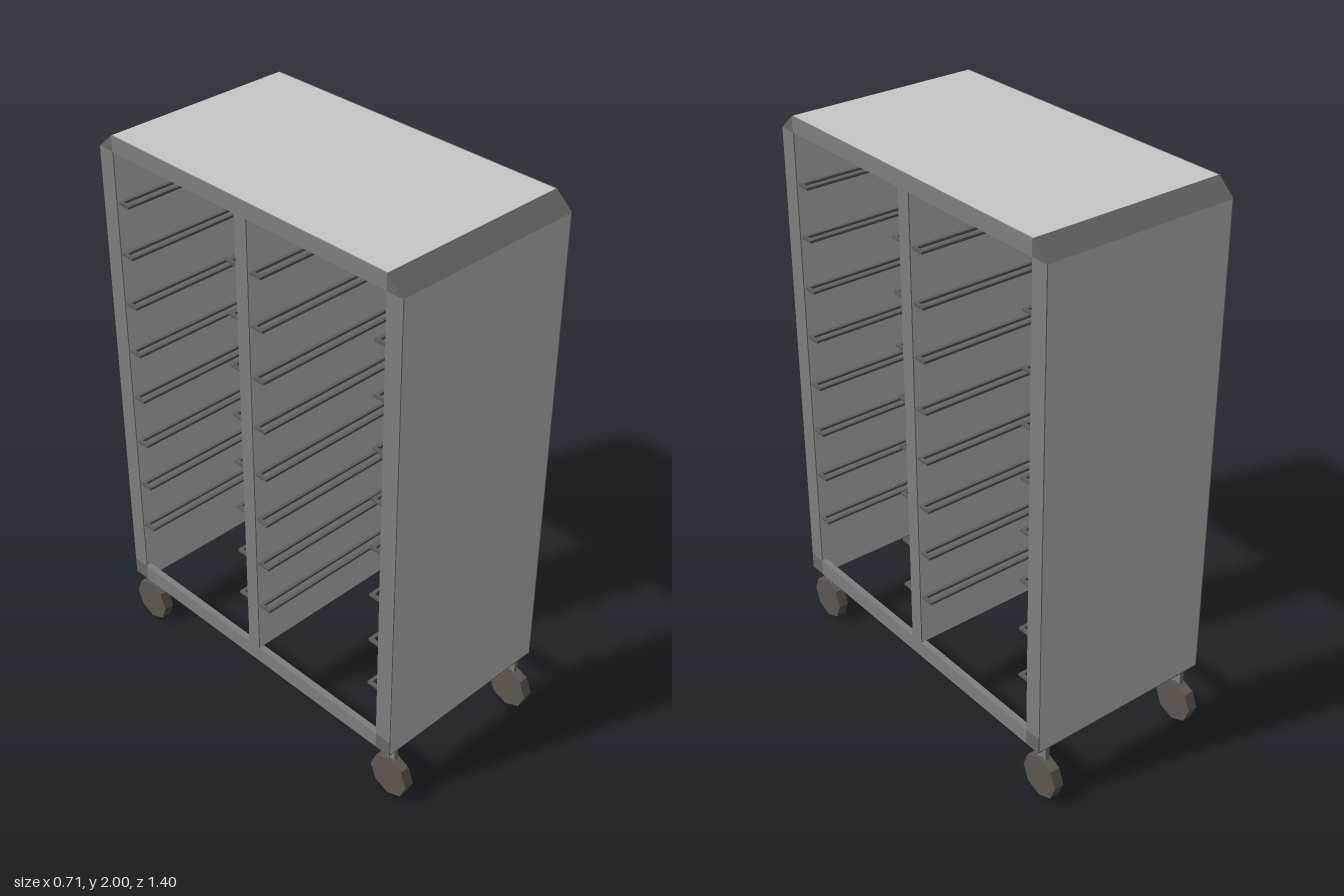
import * as THREE from 'three';

const mat = (name, color) => {
  const m = new THREE.MeshStandardMaterial({ color });
  m.name = name;
  return m;
};

export function createModel() {
  const root = new THREE.Group();
  root.name = 'trayTrolley';
  const panel = mat('lightGreyPanel', 0xc8c8c8);
  const frame = mat('midGreyFrame', 0x808080);
  const corner = mat('darkGreyCorner', 0x6c6868);
  const runnerMat = mat('darkRunner', 0x625c5c);
  const rubber = mat('wheelRubber', 0x5e5852);

  const W = 0.353, D = 0.652, T = 0.062, BOT = 0.22, RAIL = 0.28, SHOULDER = 1.945, TOP = 2;
  const CAP = 0.004, IN = D - T, MID = 0.025;

  const add = (name, geo, material, x = 0, y = 0, z = 0) => {
    const mesh = new THREE.Mesh(geo, material);
    mesh.name = name;
    mesh.position.set(x, y, z);
    root.add(mesh);
    return mesh;
  };
  // Box given by its limits on each axis
  const box = (name, material, x0, x1, y0, y1, z0, z1) =>
    add(name, new THREE.BoxGeometry(x1 - x0, y1 - y0, z1 - z0), material,
      (x0 + x1) / 2, (y0 + y1) / 2, (z0 + z1) / 2);

  // Light panels: two ends, divider and roof, leaving room for edge trim
  const w = W - CAP;
  box('frontPanel', panel, -w, w, BOT + CAP, SHOULDER, IN, D);
  box('backPanel', panel, -w, w, BOT + CAP, SHOULDER, -D, -IN);
  box('divider', panel, -w, w, RAIL, SHOULDER, -MID, MID);
  box('roof', panel, -w, w, SHOULDER, TOP, -IN, IN);

  // Trim on both open sides
  for (const s of [-1, 1]) {
    const a = s > 0 ? w : -W, b = a + CAP;
    box('roofTrim', frame, a, b, SHOULDER, TOP, -IN, IN);
    box('dividerTrim', frame, a, b, RAIL, SHOULDER, -MID, MID);
    const r = s > 0 ? W - 0.022 : -W;
    box('bottomRail', frame, r, r + 0.022, BOT, RAIL, -IN, IN);
    for (const e of [-1, 1]) {
      const z0 = e > 0 ? IN : -D, z1 = z0 + T;
      box('postTrim', frame, a, b, RAIL, SHOULDER, z0, z1);
      box('bottomCorner', corner, a, b, BOT, RAIL, z0, z1);
    }
  }

  // Chamfered bars along the top corners and strips under the end panels
  for (const e of [-1, 1]) {
    const tri = new THREE.Shape([
      new THREE.Vector2(-e * IN, SHOULDER),
      new THREE.Vector2(-e * D, SHOULDER),
      new THREE.Vector2(-e * IN, TOP),
    ]);
    const bar = new THREE.ExtrudeGeometry(tri, { depth: 2 * W, bevelEnabled: false });
    bar.translate(0, 0, -W).rotateY(Math.PI / 2);
    add('topCornerBar', bar, corner);
    box('panelFoot', corner, -w, w, BOT, BOT + CAP, e > 0 ? IN : -D, e > 0 ? D : -IN);
  }

  // Tray runners: flat open loops along the walls of both bays
  const RW = 0.05, RL = W - 0.008, S = 0.012;
  const rect = (path, x, y) => path.moveTo(-x, -y).lineTo(x, -y).lineTo(x, y).lineTo(-x, y).closePath();
  const loop = rect(new THREE.Shape(), RL, RW / 2);
  loop.holes.push(rect(new THREE.Path(), RL - S, RW / 2 - S));
  const runner = new THREE.ExtrudeGeometry(loop, { depth: 0.009, bevelEnabled: false });
  runner.translate(0, 0, -0.0045).rotateX(Math.PI / 2);
  for (let i = 0; i < 8; i++) {
    for (const z of [IN - RW / 2, MID + RW / 2]) {
      for (const e of [-1, 1]) add('trayRunner', runner, runnerMat, 0, 0.47 + i * 0.185, e * z);
    }
  }

  // Castors
  const wheel = new THREE.CylinderGeometry(0.08, 0.08, 0.037, 8).toNonIndexed();
  wheel.rotateZ(Math.PI / 2);
  wheel.computeVertexNormals();
  for (const x of [-0.302, 0.302]) {
    for (const z of [-0.619, 0.619]) {
      add('castorWheel', wheel, rubber, x, 0.08, z);
      box('castorStem', frame, x - 0.008, x + 0.008, 0.1, BOT, z - 0.018, z + 0.018);
    }
  }
  return root;
}
